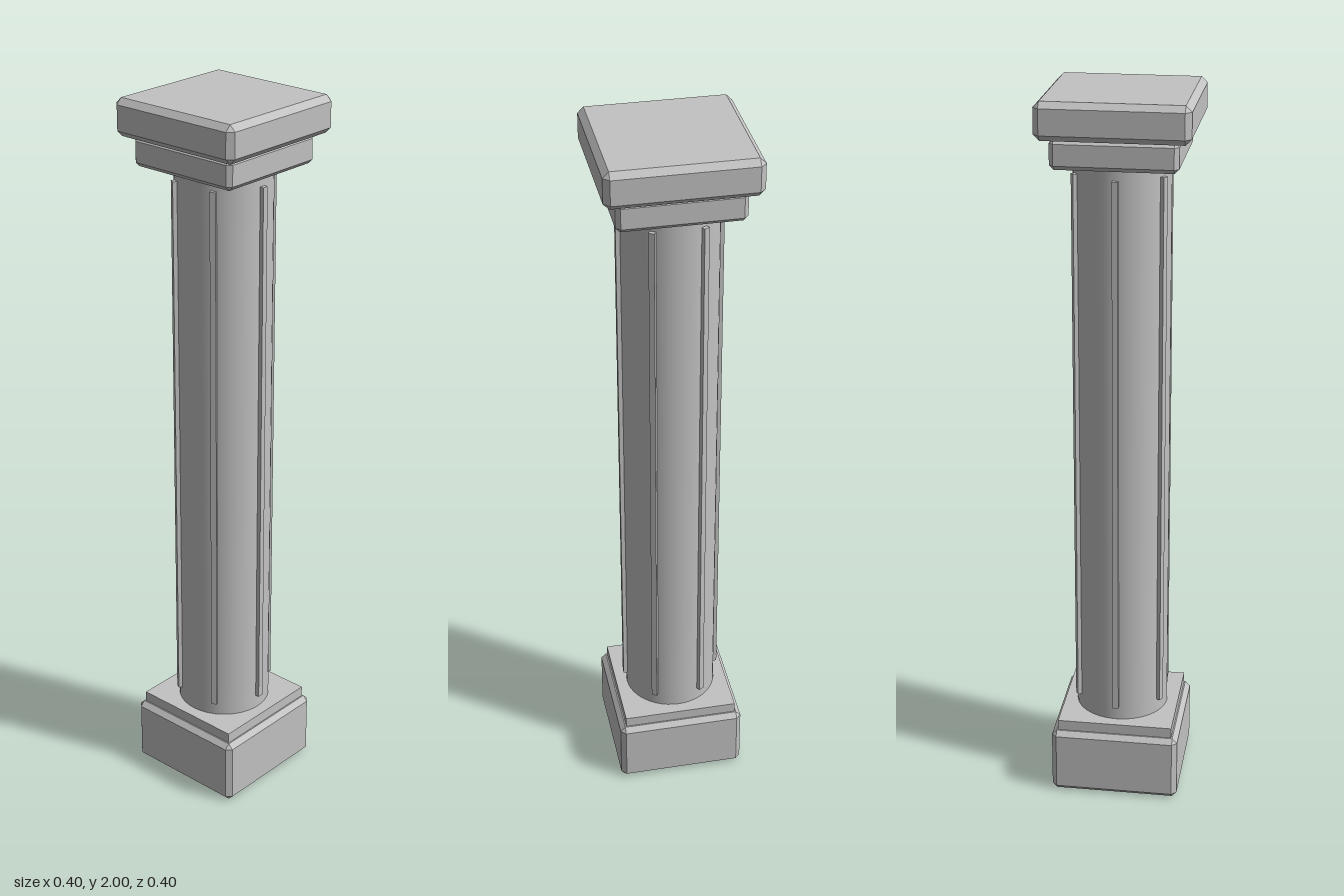
import * as THREE from 'three';
import { ConvexGeometry } from 'three/addons/geometries/ConvexGeometry.js';

// Box with every edge and corner cut flat by c
function chamferBox(w, h, d, c) {
  const points = [];
  for (const sx of [-1, 1]) for (const sy of [-1, 1]) for (const sz of [-1, 1]) {
    const x = w / 2, y = h / 2, z = d / 2;
    points.push(
      new THREE.Vector3(sx * x, sy * (y - c), sz * (z - c)),
      new THREE.Vector3(sx * (x - c), sy * y, sz * (z - c)),
      new THREE.Vector3(sx * (x - c), sy * (y - c), sz * z));
  }
  return new ConvexGeometry(points);
}

export function createModel() {
  const column = new THREE.Group();
  column.name = 'column';
  const stone = new THREE.MeshStandardMaterial({ color: 0xc2c2c2 });
  stone.name = 'grey stone';

  const add = (name, geometry, y, parent = column) => {
    const mesh = new THREE.Mesh(geometry, stone);
    mesh.name = name;
    mesh.position.y = y;
    parent.add(mesh);
    return mesh;
  };
  const slab = (name, width, bottom, top, chamfer) =>
    add(name, chamferBox(width, top - bottom, width, chamfer), (bottom + top) / 2);

  // Base
  slab('base', 0.36, 0, 0.19, 0.014);
  add('baseStep', new THREE.BoxGeometry(0.325, 0.04, 0.325), 0.2);

  // Shaft
  add('shaft', new THREE.CylinderGeometry(0.13, 0.13, 1.62, 48), 1.02);

  // Six thin raised ribs around the shaft
  const ribs = new THREE.Group();
  ribs.name = 'ribs';
  column.add(ribs);
  const ribGeometry = new THREE.BoxGeometry(0.03, 1.53, 0.016);
  for (let i = 0; i < 6; i++) {
    const angle = i * Math.PI / 3;
    const rib = add('rib', ribGeometry, 1.025, ribs);
    rib.position.x = Math.cos(angle) * 0.126;
    rib.position.z = -Math.sin(angle) * 0.126;
    rib.rotation.y = angle;
  }

  // Capital
  slab('capitalNeck', 0.332, 1.82, 1.9, 0.012);
  slab('capitalTop', 0.4, 1.9, 2, 0.016);

  return column;
}
